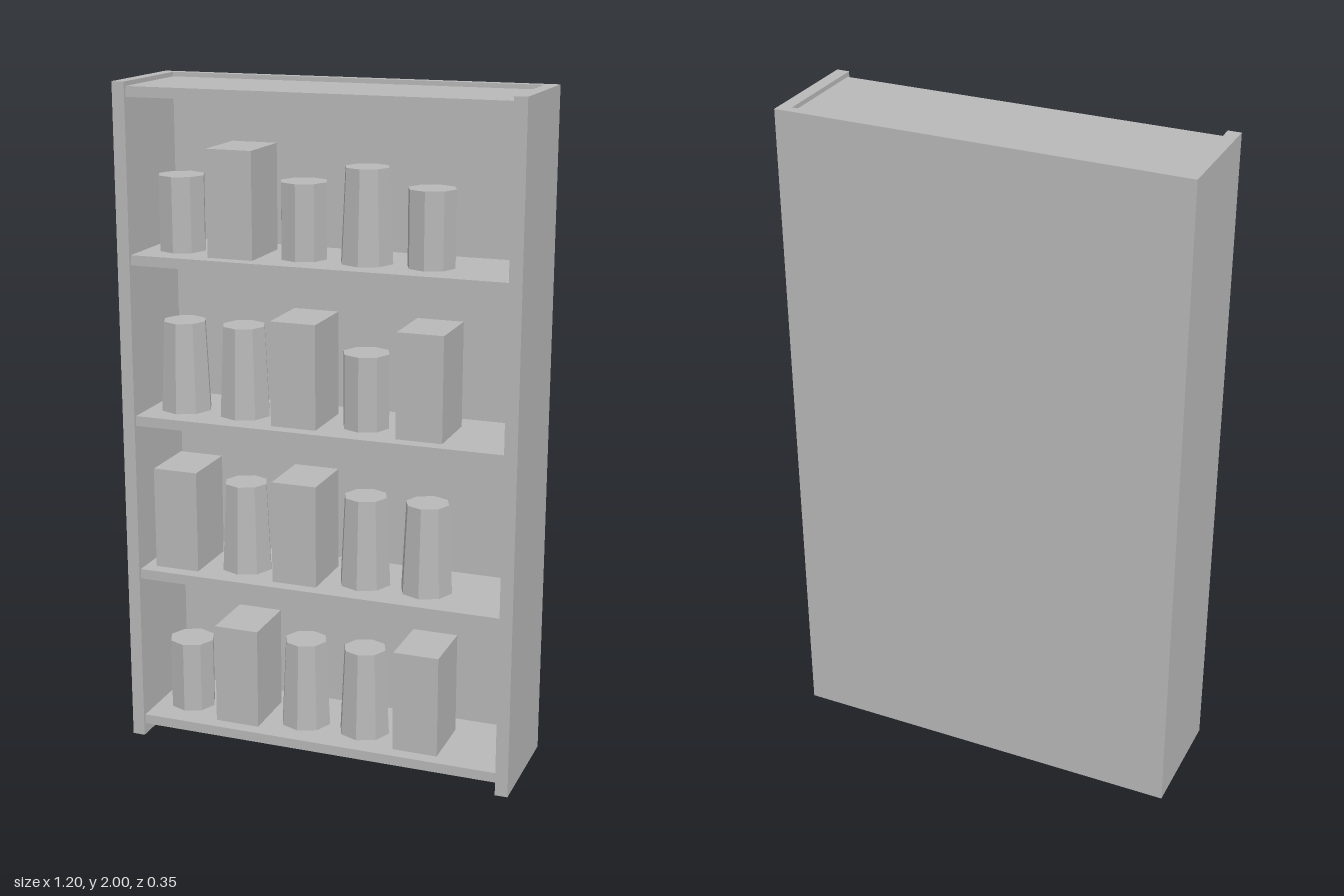
import * as THREE from 'three';

export function createModel() {
  const model = new THREE.Group();
  const grey = new THREE.MeshStandardMaterial({ color: 0xb8b8b8, flatShading: true });
  grey.name = 'grey';

  const add = (name, geometry, x, y, z) => {
    const mesh = new THREE.Mesh(geometry, grey);
    mesh.name = name;
    mesh.position.set(x, y, z);
    model.add(mesh);
  };

  // Cabinet frame: side panels butt against a full-width back panel
  const backThickness = 0.03, depth = 0.35;
  const sideDepth = depth - backThickness;
  const side = new THREE.BoxGeometry(0.038, 2, sideDepth);
  add('leftSide', side, 0.581, 1, backThickness / 2);
  add('rightSide', side, -0.581, 1, backThickness / 2);
  add('backPanel', new THREE.BoxGeometry(1.2, 2, backThickness), 0, 1, -0.16);

  // Four shelves and a recessed top board
  const shelf = new THREE.BoxGeometry(1.124, 0.03, 0.31);
  const shelfTops = [0.065, 0.545, 1.026, 1.507];
  shelfTops.forEach((y) => add('shelf', shelf, 0, y - 0.015, 0.01));
  add('topBoard', shelf, 0, 1.972, 0.01);

  // Goods: J = straight eight-sided jar, B = carton, T = tapered tub
  const goods = {
    J: { name: 'jar', height: 0.22, geometry: new THREE.CylinderGeometry(0.07, 0.07, 0.22, 8) },
    B: { name: 'carton', height: 0.31, geometry: new THREE.BoxGeometry(0.138, 0.31, 0.19) },
    T: { name: 'tub', height: 0.27, geometry: new THREE.CylinderGeometry(0.065, 0.078, 0.27, 8) },
  };
  const rows = ['JBTTB', 'BTBTT', 'TTBJB', 'JBJTJ'];
  rows.forEach((row, r) => {
    [...row].forEach((key, c) => {
      const { name, height, geometry } = goods[key];
      add(name, geometry, -0.46 + c * 0.19, shelfTops[r] + height / 2, 0.028);
    });
  });

  return model;
}
